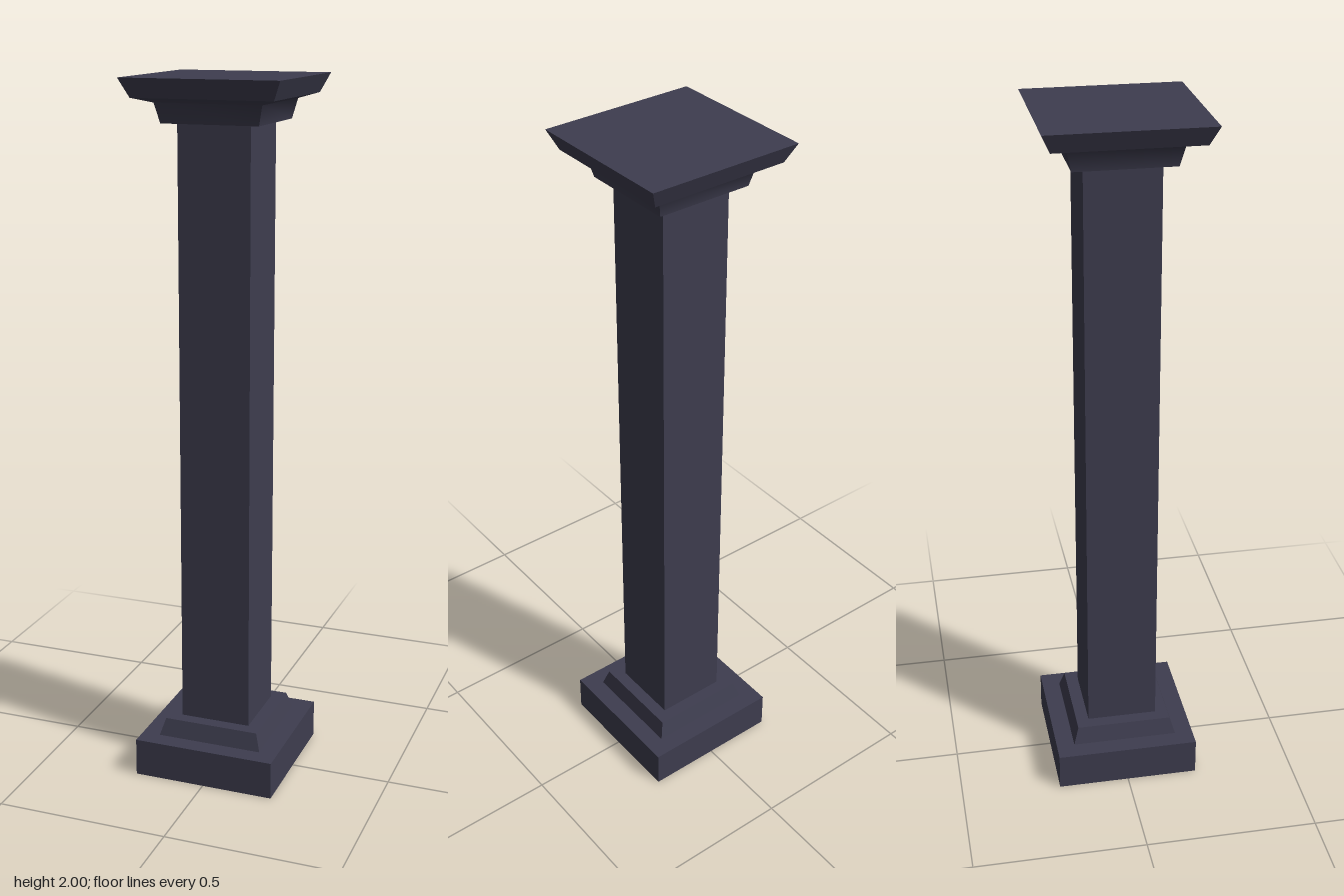
import * as THREE from 'three';
import { toCreasedNormals } from 'three/addons/utils/BufferGeometryUtils.js';

const stone = new THREE.MeshStandardMaterial({ color: 0x3e3d4f });
stone.name = 'dark slate stone';

// Square solid of revolution: each profile point is [half width, height], bottom to top
function squareTurned(name, profile, crease = 0.1) {
  const points = profile.map(([half, y]) => new THREE.Vector2(half * Math.SQRT2, y));
  const lathe = new THREE.LatheGeometry(points, 4, Math.PI / 4);
  const mesh = new THREE.Mesh(toCreasedNormals(lathe, crease), stone);
  mesh.name = name;
  return mesh;
}

function block(name, half, bottom, top) {
  const geometry = new THREE.BoxGeometry(half * 2, top - bottom, half * 2);
  geometry.translate(0, (bottom + top) / 2, 0);
  const mesh = new THREE.Mesh(geometry, stone);
  mesh.name = name;
  return mesh;
}

export function createModel() {
  const column = new THREE.Group();
  column.name = 'column';

  // Foot: plain plinth with a tapered collar
  column.add(block('plinth', 0.208, 0, 0.11));
  column.add(squareTurned('baseCollar', [[0.155, 0.11], [0.14, 0.16], [0, 0.16]]));

  // Square shaft
  column.add(block('shaft', 0.103, 0.16, 1.88));

  // Capital: softly shaded flared neck under a flat slab
  column.add(squareTurned('capitalNeck',
    [[0.1, 1.88], [0.137, 1.88], [0.15, 1.934], [0.197, 1.948]], Math.PI / 3));
  column.add(squareTurned('capitalSlab', [[0.197, 1.948], [0.221, 2], [0, 2]]));

  return column;
}
